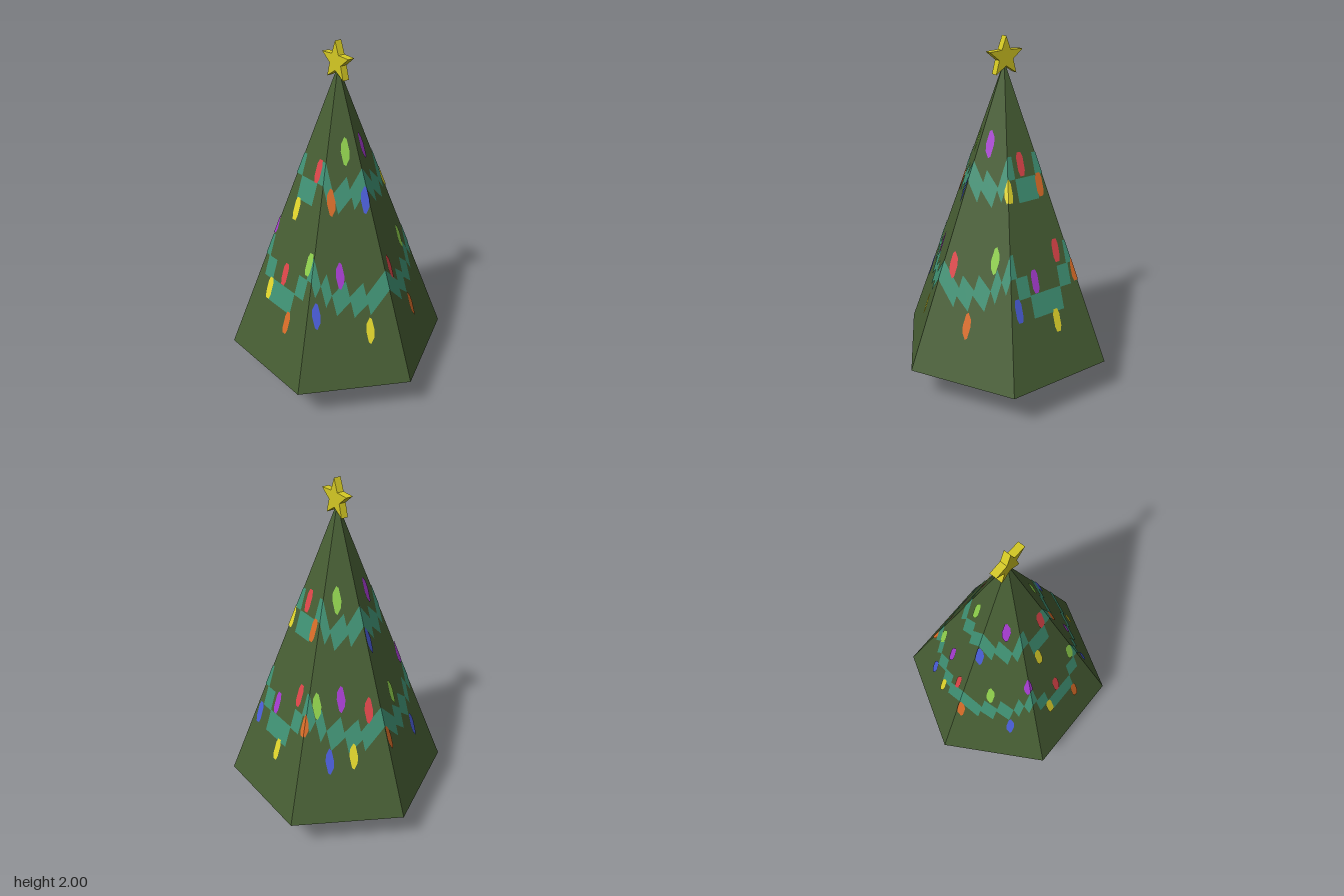
import * as THREE from 'three';

const BASE_Y = 0.215, TIP_Y = 1.87, RADIUS = 0.63, APOTHEM = RADIUS * Math.cos(Math.PI / 6);
const SLOPE = (TIP_Y - BASE_Y) / APOTHEM;
const sides = Array.from({ length: 6 }, (_, k) => [Math.cos(k * Math.PI / 3), Math.sin(k * Math.PI / 3)]);
const dot = (a, b) => a[0] * b[0] + a[1] * b[1];

const mat = (name, color, opts = {}) => {
  const m = new THREE.MeshStandardMaterial({ color, ...opts });
  m.name = name;
  return m;
};

// keep the part of a polygon where dot(p, n) >= 0
function clip(poly, n) {
  const out = [];
  poly.forEach((a, i) => {
    const b = poly[(i + 1) % poly.length];
    const da = dot(a, n), db = dot(b, n);
    if (da >= 0) out.push(a);
    if (da * db < 0) {
      const t = da / (da - db);
      out.push([a[0] + (b[0] - a[0]) * t, a[1] + (b[1] - a[1]) * t]);
    }
  });
  return out;
}

// lay flat plan polygons (x, z) over the six slopes and under the base
function drape(polys, lift) {
  const pos = [];
  const fan = (poly, height, up) => {
    for (let i = 1; i < poly.length - 1; i++) {
      const [a, b, c] = [poly[0], poly[i], poly[i + 1]];
      const area = (b[0] - a[0]) * (c[1] - a[1]) - (b[1] - a[1]) * (c[0] - a[0]);
      if (Math.abs(area) < 1e-9) continue;
      const tri = (area < 0) === up ? [a, b, c] : [a, c, b];
      tri.forEach(p => pos.push(p[0], height(p), p[1]));
    }
  };
  for (const poly of polys) {
    sides.forEach((n, k) => {
      let piece = poly;
      for (const j of [(k + 1) % 6, (k + 5) % 6]) {
        piece = clip(piece, [n[0] - sides[j][0], n[1] - sides[j][1]]);
      }
      fan(piece, p => TIP_Y + lift - SLOPE * dot(p, n), true);
    });
    fan(poly, () => BASE_Y - lift * 0.25, false);
  }
  const g = new THREE.BufferGeometry();
  g.setAttribute('position', new THREE.Float32BufferAttribute(pos, 3));
  g.computeVertexNormals();
  return g;
}

export function createModel() {
  const tree = new THREE.Group();
  tree.name = 'decoratedTree';
  const add = (name, geo, material) => {
    const m = new THREE.Mesh(geo, material);
    m.name = name;
    tree.add(m);
    return m;
  };

  // trunk and six-sided foliage
  const trunk = add('trunk', new THREE.CylinderGeometry(0.105, 0.105, BASE_Y, 5), mat('bark brown', 0x593a34, { flatShading: true }));
  trunk.rotation.y = Math.PI;
  trunk.position.y = BASE_Y / 2;
  const foliage = add('foliage', new THREE.ConeGeometry(RADIUS, TIP_Y - BASE_Y, 6), mat('pine green', 0x465d33, { flatShading: true }));
  foliage.position.y = (BASE_Y + TIP_Y) / 2;

  // star, facing sideways
  const shape = new THREE.Shape();
  for (let i = 0; i < 10; i++) {
    const r = i % 2 ? 0.046 : 0.108, a = Math.PI / 2 + i * Math.PI / 5;
    shape[i ? 'lineTo' : 'moveTo'](r * Math.cos(a), r * Math.sin(a));
  }
  const starGeo = new THREE.ExtrudeGeometry(shape, { depth: 0.04, bevelEnabled: false });
  starGeo.translate(0, 0, -0.02).rotateY(Math.PI / 2);
  add('star', starGeo, mat('star gold', 0xd6ca24)).position.y = 1.892;

  // garland bands: x0, x1, then z range at x0 and z range at x1 (one quarter)
  const bands = [
    [0, 0.117, 0.398, 0.438, 0.378, 0.418],
    [0.117, 0.195, 0.352, 0.395, 0.332, 0.375],
    [0.195, 0.275, 0.3, 0.342, 0.28, 0.322],
    [0.275, 0.315, 0.236, 0.28, 0.236, 0.28],
    [0.315, 0.355, 0.165, 0.236, 0.165, 0.236],
    [0.355, 0.392, 0.1, 0.175, 0.1, 0.175],
    [0.39, 0.43, 0, 0.1, 0, 0.1],
    [0, 0.078, 0.196, 0.236, 0.19, 0.23],
    [0.078, 0.157, 0.165, 0.205, 0.15, 0.19],
    [0.157, 0.195, 0.065, 0.155, 0.065, 0.155],
    [0.195, 0.235, 0, 0.065, 0, 0.065],
  ];
  const garland = [];
  for (const sx of [1, -1]) for (const sz of [1, -1]) {
    for (const [x0, x1, a, b, c, d] of bands) {
      garland.push([[x0, a], [x0, b], [x1, d], [x1, c]].map(([x, z]) => [sx * x, sz * z]));
    }
  }
  add('garland', drape(garland, 0.008), mat('garland teal', 0x3f9073));

  // baubles grouped by colour: plan positions x, z
  const baubles = {
    orange: [0xd86c28, [[-0.02, -0.455], [0.371, -0.21], [0.214, 0.395], [-0.448, 0.094], [0.214, -0.08], [-0.177, 0.157]]],
    blue: [0x4a5dd8, [[-0.295, -0.335], [0.294, -0.335], [0.411, 0.19], [-0.371, 0.265], [-0.02, -0.258], [-0.02, 0.248]]],
    green: [0x8fd04c, [[-0.137, -0.32], [0.294, -0.22], [0.254, 0.235], [-0.33, 0.157], [0.097, -0.13], [-0.06, 0.13]]],
    red: [0xdd4549, [[0.06, -0.37], [0.33, -0.11], [0.057, 0.372], [-0.371, -0.01], [0.174, 0.017], [-0.177, 0.053]]],
    yellow: [0xe2d62c, [[0.177, -0.395], [0.447, -0.04], [-0.137, 0.44], [-0.411, -0.107], [0.214, 0.12], [-0.254, -0.044]]],
    purple: [0xa53ccf, [[0.177, -0.277], [0.371, 0.057], [-0.217, 0.278], [-0.294, -0.178], [-0.097, -0.128], [0.057, 0.13]]],
  };
  const w = 0.02, h = 0.021, c = 0.009;
  const outline = [[-w, -h + c], [-w + c, -h], [w - c, -h], [w, -h + c], [w, h - c], [w - c, h], [-w + c, h], [-w, h - c]];
  for (const [name, [color, spots]] of Object.entries(baubles)) {
    const polys = spots.map(([x, z]) => outline.map(p => [p[0] + x, p[1] + z]));
    add(name + 'Baubles', drape(polys, 0.014), mat('bauble ' + name, color));
  }
  return tree;
}
